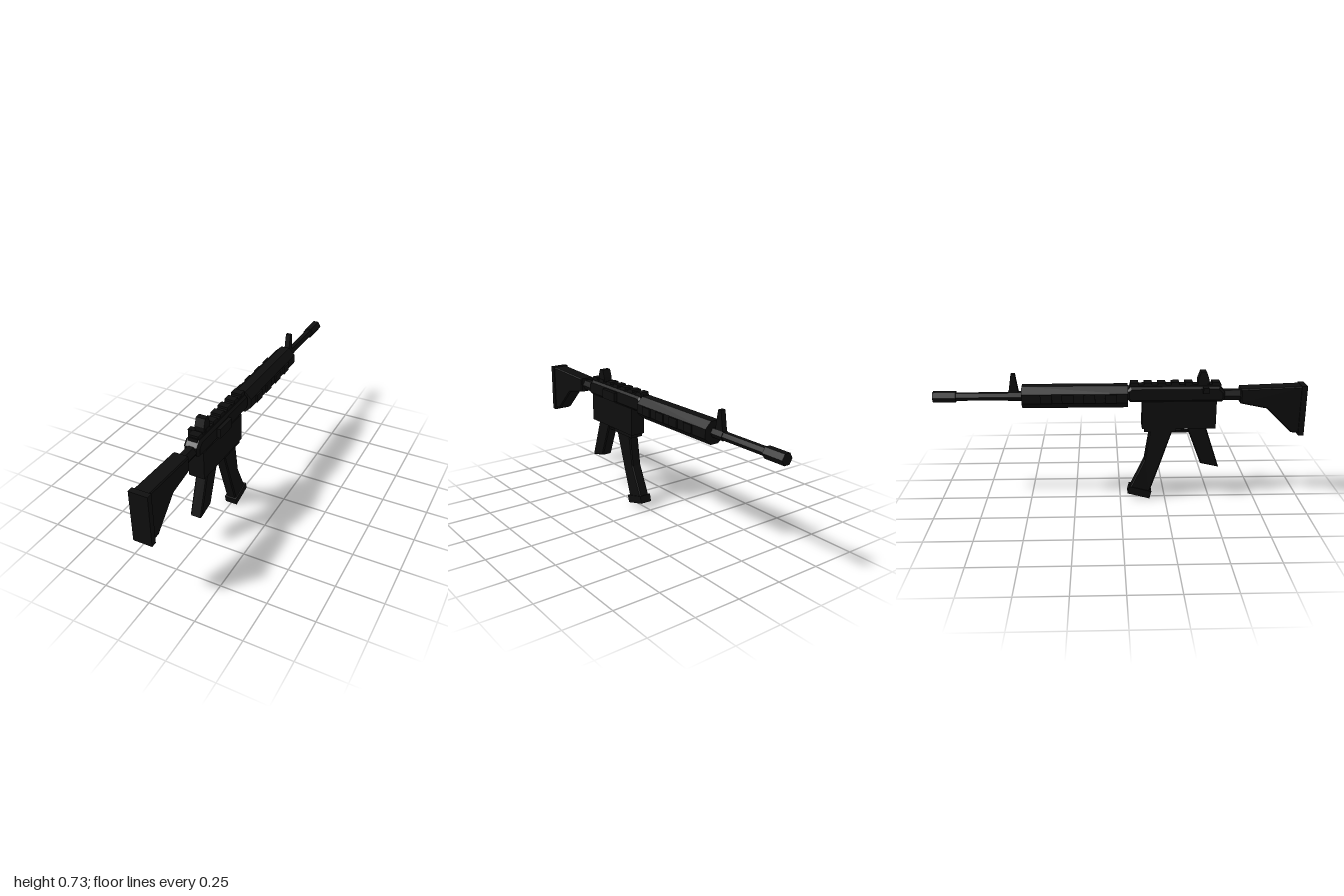
import * as THREE from 'three';

export function createModel() {
  const model = new THREE.Group();
  const black = new THREE.MeshStandardMaterial({ color: 0x0e0e0e, flatShading: true });
  black.name = 'matte black';

  function add(name, geometry, parent = model) {
    const mesh = new THREE.Mesh(geometry, black);
    mesh.name = name;
    parent.add(mesh);
    return mesh;
  }

  // Side profile of [z, y] points, given a width along x and a chamfered edge
  function plate(name, points, halfWidth, bevel = 0.006) {
    const shape = new THREE.Shape(points.map(([z, y]) => new THREE.Vector2(z, y)));
    const depth = 2 * (halfWidth - bevel);
    const geometry = new THREE.ExtrudeGeometry(shape, {
      depth, bevelEnabled: bevel > 0, bevelThickness: bevel,
      bevelSize: bevel, bevelOffset: -bevel, bevelSegments: 1,
    });
    geometry.translate(0, 0, -depth / 2);
    geometry.rotateY(-Math.PI / 2);
    return add(name, geometry);
  }

  function box(name, [x0, x1], [y0, y1], [z0, z1], parent) {
    const geometry = new THREE.BoxGeometry(x1 - x0, y1 - y0, z1 - z0);
    geometry.translate((x0 + x1) / 2, (y0 + y1) / 2, (z0 + z1) / 2);
    return add(name, geometry, parent);
  }

  // Faceted tube along z, centred on the bore
  const boreY = 0.6;
  function tube(name, radius, z0, z1, sides = 6, turn = Math.PI / 2) {
    const geometry = new THREE.CylinderGeometry(radius, radius, z1 - z0, sides);
    geometry.rotateY(turn);
    geometry.rotateX(Math.PI / 2);
    geometry.translate(0, boreY, (z0 + z1) / 2);
    return add(name, geometry);
  }

  // Shoulder stock
  plate('stock', [[0.98, 0.652], [0.646, 0.64], [0.646, 0.56], [0.79, 0.53],
    [0.93, 0.392], [0.98, 0.388]], 0.043);
  box('buttPlate', [-0.05, 0.05], [0.377, 0.655], [0.97, 1]);
  tube('stockTube', 0.032, 0.54, 0.66);

  // Receiver
  plate('upperReceiver', [[0.545, 0.57], [0.56, 0.585], [0.56, 0.625], [0.53, 0.655],
    [0.055, 0.655], [0.035, 0.635], [0.035, 0.59], [0.055, 0.57]], 0.043, 0.012);
  box('lowerReceiver', [-0.043, 0.043], [0.42, 0.575], [0.117, 0.517]);
  box('magazineWell', [-0.036, 0.036], [0.4, 0.425], [0.13, 0.3]);
  box('ejectionCover', [0.035, 0.063], [0.585, 0.637], [0.26, 0.38]);
  box('chargingHandle', [-0.068, -0.03], [0.623, 0.655], [0.44, 0.47]);

  // Top rail with evenly spaced teeth
  const rail = new THREE.Group();
  rail.name = 'topRail';
  model.add(rail);
  box('railBase', [-0.026, 0.026], [0.645, 0.664], [0.05, 0.54], rail);
  for (let i = 0; i < 7; i++) {
    const z = 0.075 + i * 0.073;
    box('railTooth', [-0.028, 0.028], [0.66, 0.676], [z - 0.021, z + 0.021], rail);
  }

  // Sights
  plate('rearSight', [[0.475, 0.665], [0.475, 0.69], [0.46, 0.732], [0.43, 0.732],
    [0.415, 0.69], [0.415, 0.665]], 0.025, 0);
  tube('frontSightBase', 0.027, -0.6, -0.52);
  plate('frontSight', [[-0.54, 0.6], [-0.56, 0.725], [-0.58, 0.725], [-0.6, 0.6]], 0.014, 0);

  // Handguard with grip pads on both sides
  tube('handguard', 0.06 / Math.cos(Math.PI / 8), -0.525, 0.04, 8, Math.PI / 8);
  for (const side of [-1, 1]) {
    for (let i = 0; i < 4; i++) {
      const z = -0.05 - i * 0.115;
      const x = [side * 0.05, side * 0.068].sort((a, b) => a - b);
      box('handguardPad', x, [0.577, 0.623], [z - 0.031, z + 0.031]);
    }
  }

  // Barrel and muzzle
  tube('barrel', 0.023, -0.9, -0.5);
  tube('muzzle', 0.032, -1, -0.878);

  // Hand grip, trigger and guard
  plate('grip', [[0.464, 0.43], [0.36, 0.43], [0.372, 0.395], [0.443, 0.21], [0.545, 0.187]], 0.0315);
  box('triggerGuard', [-0.012, 0.012], [0.388, 0.399], [0.27, 0.38]);
  box('trigger', [-0.008, 0.008], [0.392, 0.425], [0.334, 0.346]);

  // Curved magazine
  plate('magazine', [[0.293, 0.43], [0.163, 0.43], [0.132, 0.23], [0.055, 0.065],
    [0.16, 0.03], [0.223, 0.215]], 0.029);
  plate('magazineBase', [[0.174, 0.042], [0.05, 0.074], [0.04, 0.033], [0.163, 0]], 0.034, 0);

  return model;
}
